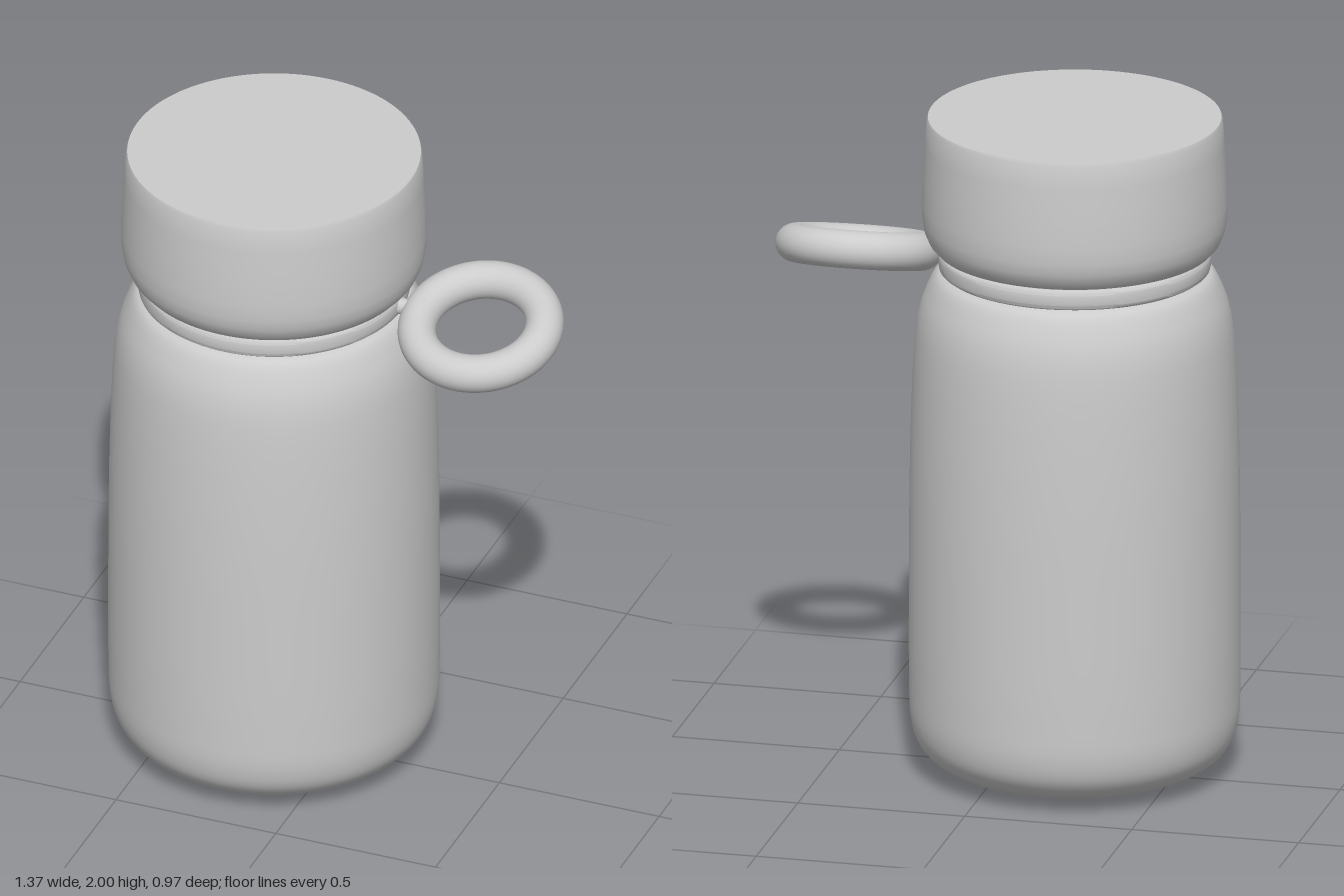
import * as THREE from 'three';
import { toCreasedNormals } from 'three/addons/utils/BufferGeometryUtils.js';

const AXIS_X = -0.205;
const SEGMENTS = 96;

export function createModel() {
  const model = new THREE.Group();
  model.name = 'bottle';
  const grey = new THREE.MeshStandardMaterial({ color: 0xcccccc });

  const add = (name, geometry, x, y = 0) => {
    const mesh = new THREE.Mesh(geometry, grey);
    mesh.name = name;
    mesh.position.set(x, y, 0);
    model.add(mesh);
    return mesh;
  };
  const vectors = (points) => points.map(([r, y]) => new THREE.Vector2(r, y));
  const turn = (points) => new THREE.LatheGeometry(points, SEGMENTS);

  // Body: rounded base, nearly straight wall, soft shoulder
  const wall = new THREE.SplineCurve(vectors([
    [0, 0], [0.16, 0.004], [0.28, 0.014], [0.38, 0.036], [0.445, 0.083], [0.476, 0.16],
    [0.482, 0.3], [0.482, 0.6], [0.48, 0.9], [0.474, 1.15], [0.465, 1.32],
    [0.452, 1.41], [0.43, 1.475], [0.405, 1.52], [0.375, 1.536],
  ])).getPoints(90);
  add('body', turn(wall), AXIS_X);

  // Neck hidden behind the strap
  add('neck', new THREE.CylinderGeometry(0.378, 0.378, 0.1, SEGMENTS), AXIS_X, 1.566);

  // Lid: rounded lower edge, slight taper, crisp flat top
  const lid = turn(vectors([
    [0, 1.597], [0.385, 1.597], [0.405, 1.604], [0.424, 1.625], [0.437, 1.655],
    [0.443, 1.69], [0.444, 1.74], [0.441, 1.82], [0.436, 1.92], [0.431, 1.99],
    [0.427, 2], [0, 2],
  ]));
  add('lid', toCreasedNormals(lid, 0.6), AXIS_X);

  // Strap: flat band with softened edges around the neck
  const strap = turn(vectors([
    [0.37, 1.535], [0.386, 1.535], [0.394, 1.541], [0.396, 1.55],
    [0.396, 1.58], [0.394, 1.588], [0.386, 1.594], [0.37, 1.594],
  ]));
  add('strap', toCreasedNormals(strap, 0.9), AXIS_X);

  // Connector: short waisted stem flaring into the strap and the loop
  const stem = turn(vectors([
    [0.034, -0.06], [0.026, -0.03], [0.023, 0], [0.028, 0.03], [0.042, 0.06],
  ]));
  add('connector', stem, 0.21, 1.562).rotation.z = -Math.PI / 2;

  // Carrying loop, tilted down at the front
  const loop = add('carryingLoop', new THREE.TorusGeometry(0.187, 0.056, 28, 80), 0.442, 1.548);
  loop.rotation.x = Math.PI / 2 + 0.28;

  return model;
}
